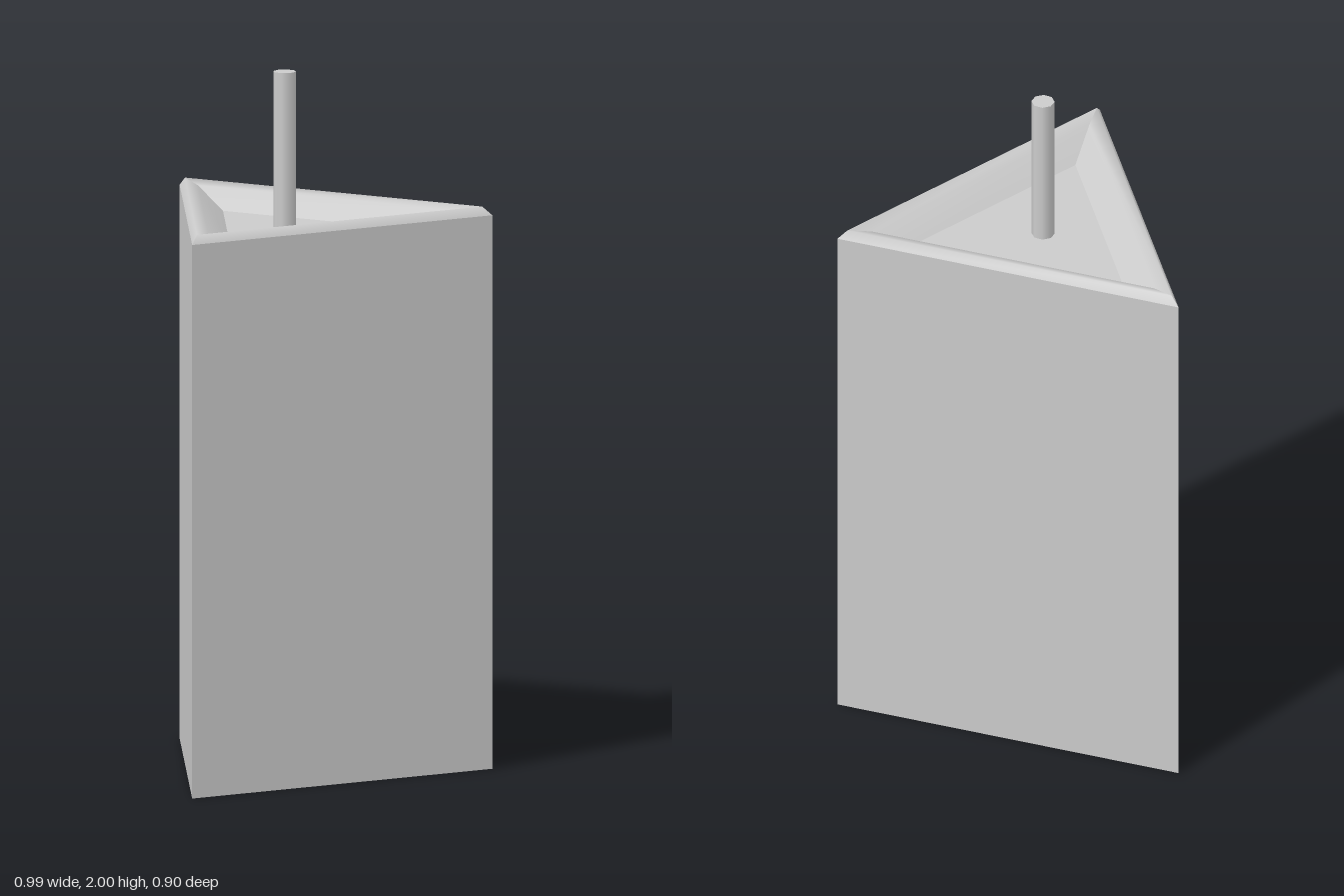
import * as THREE from 'three';
import { mergeGeometries } from 'three/addons/utils/BufferGeometryUtils.js';

const CENTRE_Z = 0.15; // centroid of the triangular plan
const CORNERS = [[-0.495, 0.45], [0.495, 0.45], [0, -0.45]];

// Plan corner scaled about the centroid
const corner = (i, s) => {
  const [x, z] = CORNERS[i % 3];
  return [x * s, CENTRE_Z + (z - CENTRE_Z) * s];
};

// Three strips following a [scale, height] profile: smooth along it, sharp at the corners
function loft(profile) {
  const strips = [0, 1, 2].map((side) => {
    const pos = [], index = [];
    profile.forEach(([s, y], r) => {
      for (const i of [side, side + 1]) {
        const [x, z] = corner(i, s);
        pos.push(x, y, z);
      }
      if (r > 0) {
        const a = 2 * r - 2;
        index.push(a, a + 1, a + 3, a, a + 3, a + 2);
      }
    });
    const g = new THREE.BufferGeometry();
    g.setAttribute('position', new THREE.Float32BufferAttribute(pos, 3));
    g.setIndex(index);
    g.computeVertexNormals();
    return g;
  });
  return mergeGeometries(strips);
}

// Flat triangle facing up (dir 1) or down (dir -1)
function cap(s, y, dir) {
  const pts = [0, 1, 2].map((i) => {
    const [x, z] = corner(i, s);
    return new THREE.Vector2(x, -dir * z);
  });
  return new THREE.ShapeGeometry(new THREE.Shape(pts)).rotateX(-dir * Math.PI / 2).translate(0, y, 0);
}

export function createModel() {
  const group = new THREE.Group();
  const material = new THREE.MeshStandardMaterial({ color: 0xcccccc });
  const add = (name, geometry) => {
    const mesh = new THREE.Mesh(geometry, material);
    mesh.name = name;
    group.add(mesh);
    return mesh;
  };

  // Triangular candle body
  add('bodyWalls', loft([[1, 0], [1, 1.59]]));
  add('bodyBase', cap(1, 0, -1));

  // Rounded rim sloping down to the recessed top
  add('rim', loft([[1, 1.59], [0.95, 1.615], [0.83, 1.603], [0.6, 1.55]]));
  add('recessFloor', cap(0.6, 1.55, 1));

  // Wick, sunk slightly into the recess floor
  const wick = add('wick', new THREE.CylinderGeometry(0.033, 0.033, 0.46, 8));
  wick.position.set(0, 1.77, 0.131);

  return group;
}
